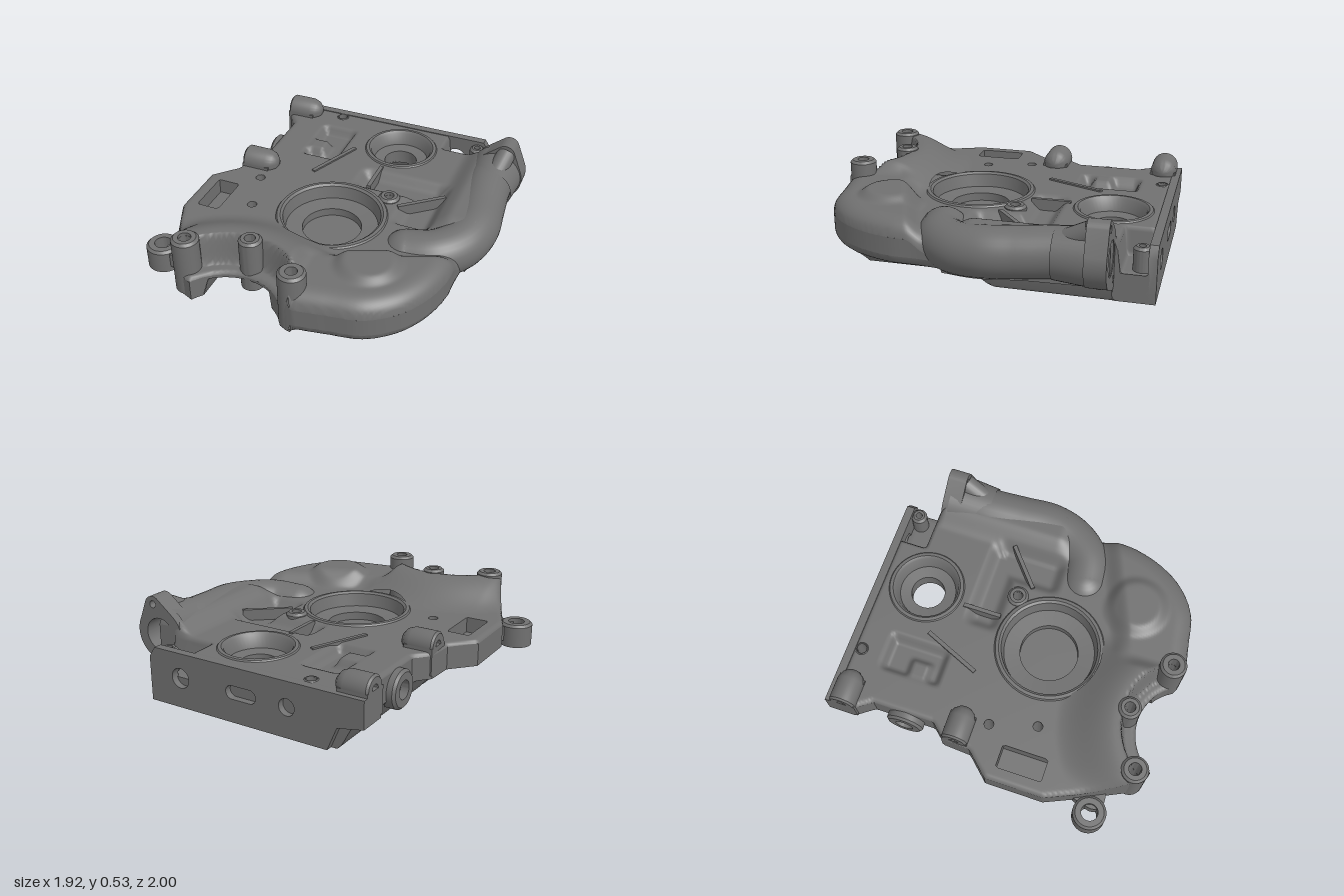
import * as THREE from 'three';
import { toCreasedNormals } from 'three/addons/utils/BufferGeometryUtils.js';

const MAT = new THREE.MeshStandardMaterial({ color: 0x707070, side: THREE.DoubleSide });
const CELL = 0.0135;
const step = THREE.MathUtils.smoothstep;
const V3 = (x, y, z) => new THREE.Vector3(x, y, z);

// ---- plan-view helpers: points are [x, z] ----
const circle = (x, z, r, n = 28) => Array.from({ length: n }, (_, i) => {
  const t = (i / n) * Math.PI * 2;
  return [x + r * Math.cos(t), z + r * Math.sin(t)];
});
// Outline wrapped tightly around circles [x, y, r]
const hull = (discs, n = 72) => Array.from({ length: n }, (_, i) => {
  const c = Math.cos((i / n) * Math.PI * 2), s = Math.sin((i / n) * Math.PI * 2);
  const reach = (d) => d[0] * c + d[1] * s + d[2];
  const d = discs.reduce((a, b) => (reach(b) > reach(a) ? b : a));
  return [d[0] + d[2] * c, d[1] + d[2] * s];
});
// Closest boundary point, its distance, and whether the point lies inside
function locate(poly, x, z) {
  let best = Infinity, px = x, pz = z, inside = false;
  for (let i = 0, j = poly.length - 1; i < poly.length; j = i++) {
    const [ax, az] = poly[j], [bx, bz] = poly[i];
    const dx = bx - ax, dz = bz - az;
    const t = Math.min(1, Math.max(0, ((x - ax) * dx + (z - az) * dz) / (dx * dx + dz * dz || 1)));
    const qx = ax + t * dx, qz = az + t * dz, d = (x - qx) ** 2 + (z - qz) ** 2;
    if (d < best) { best = d; px = qx; pz = qz; }
    if ((az > z) !== (bz > z) && x < ax + ((z - az) * dx) / dz) inside = !inside;
  }
  return { d: Math.sqrt(best), px, pz, inside };
}
// Soft-edged box, 1 inside and 0 outside
const pad = (x, z, cx, cz, hx, hz, soft = 0.05) =>
  (1 - step(Math.abs(x - cx), hx - soft, hx)) * (1 - step(Math.abs(z - cz), hz - soft, hz));
// Drop of a rounded edge of radius r at distance d from the boundary
const rounding = (d, r) => r * (1 - Math.sqrt(1 - Math.max(0, 1 - d / r) ** 2));

// ---- casting outline ----
const ARC = [-0.25, 1.13, 0.32];
const arch = Array.from({ length: 19 }, (_, i) => {
  const t = ((330 - (i * 120) / 18) * Math.PI) / 180;
  return [ARC[0] + ARC[2] * Math.cos(t), ARC[1] + ARC[2] * Math.sin(t)];
});
const rightSide = new THREE.CatmullRomCurve3([[0.82, -0.3], [0.86, -0.05], [0.835, 0.15], [0.82, 0.3], [0.815, 0.46],
  [0.76, 0.65], [0.66, 0.81], [0.5, 0.93], [0.3, 0.97], [0.12, 1]].map(([x, z]) => V3(x, 0, z))).getPoints(45).map((p) => [p.x, p.z]);
const OUTLINE = [[-0.74, -0.96], [0.67, -0.96], [0.67, -0.765], [0.8, -0.765], ...rightSide, [0.07, 0.99], ...arch,
  [-0.6, 0.94], [-0.66, 0.89], [-0.8, 0.6], [-0.88, 0.42], [-0.88, 0.06], [-0.75, -0.08], [-0.74, -0.25],
  [-0.66, -0.34], [-0.66, -0.72], [-0.74, -0.83]];

// ---- upper surface height ----
function topHeight(x, z, d) {
  const a = Math.hypot(x - ARC[0], z - ARC[1]);
  let y = 0.33 + 0.14 * (1 - step(a, 0.46, 0.8)) * (1 - step(x, 0.08, 0.25)) * step(x, -0.86, -0.64);
  y -= 0.06 * Math.max(pad(x, z, 0.28, -0.28, 0.3, 0.12, 0.08), pad(x, z, 0.47, -0.12, 0.14, 0.24, 0.08));
  y -= 0.06 * pad(x, z, -0.33, -0.58, 0.13, 0.2) * (1 - pad(x, z, -0.39, -0.53, 0.09, 0.09));
  y -= 0.16 * pad(x, z, 0.54, -0.88, 0.15, 0.1, 0.025);
  // fillet up to the outlet pipe
  y += 0.08 * step(x, 0.54, 0.7) * step(z, -0.79, -0.75) * (1 - step(z, 0, 0.2));
  // pump housing with its round crown
  const pump = step(z - (0.62 - 0.4 * x), -0.05, 0.08) * step(x, 0, 0.1);
  y = THREE.MathUtils.lerp(y, 0.4, pump);
  y += 0.04 * (1 - step(Math.hypot(x - 0.4, z - 0.6), 0.13, 0.21));
  // pockets between the front posts
  y = THREE.MathUtils.lerp(y, 0.28, (1 - step(a, 0.39, 0.43)) * step(x, -0.62, -0.58) * (1 - step(x, 0.06, 0.1)));
  return y - 0.85 * rounding(d, x > 0.1 && z > 0.15 ? 0.12 : 0.025);
}
// ---- underside height ----
function bottomHeight(x, z, d) {
  const left = 0.17 * (1 - step(x, -0.68, -0.55));
  const front = 0.13 * step(z, 0.48, 0.72);
  const right = 0.13 * step(x, 0.67, 0.71);
  const pump = 0.09 * step(x + z, 0.55, 0.75);
  const underArch = 0.24 * pad(x, z, -0.275, 0.85, 0.215, 0.33, 0.03);
  const pocket = 0.16 * pad(x, z, 0.2, -0.38, 0.27, 0.53);
  const slots = 0.1 * Math.max(pad(x, z, -0.42, -0.2, 0.07, 0.12, 0.02), pad(x, z, -0.2, 0.4, 0.24, 0.04, 0.02));
  const edge = x > 0.1 && z > 0.15 ? rounding(d, 0.06) : 0;
  return Math.max(left, front, right, pump, underArch, pocket, slots) + edge;
}

function finish(pos, idx) {
  const g = new THREE.BufferGeometry();
  g.setAttribute('position', new THREE.Float32BufferAttribute(pos, 3));
  g.setIndex(idx);
  g.computeVertexNormals();
  return g;
}
// Surface over the outline; rim vertices are pulled onto the boundaries
function skin(height, holes, faceUp) {
  const nx = Math.ceil(1.8 / CELL), nz = Math.ceil(2.0 / CELL), pos = [], kept = [], idx = [];
  for (let j = 0; j <= nz; j++) for (let i = 0; i <= nx; i++) {
    let x = -0.9 + i * CELL, z = -0.975 + j * CELL;
    const o = locate(OUTLINE, x, z);
    let ok = o.inside, d = o.d;
    if (!ok) { x = o.px; z = o.pz; d = 0; }
    else for (const h of holes) {
      const q = locate(h, x, z);
      if (q.inside) { ok = false; x = q.px; z = q.pz; break; }
    }
    pos.push(x, height(x, z, d), z);
    kept.push(ok);
  }
  const tri = (a, b, c) => {
    if (kept[a] || kept[b] || kept[c]) idx.push(...(faceUp ? [a, b, c] : [a, c, b]));
  };
  for (let j = 0; j < nz; j++) for (let i = 0; i < nx; i++) {
    const a = j * (nx + 1) + i, c = a + nx + 1;
    tri(a, c, a + 1);
    tri(a + 1, c, c + 1);
  }
  return finish(pos, idx);
}
// Vertical wall along a closed outline; d is the edge distance given to the height rules
function wall(poly, top, bottom, d = 1) {
  const pos = [], idx = [];
  poly.forEach(([ax, az], i) => {
    const [bx, bz] = poly[(i + 1) % poly.length];
    const n = Math.max(1, Math.ceil(Math.hypot(bx - ax, bz - az) / 0.02));
    for (let k = 0; k < n; k++) {
      const x = ax + ((bx - ax) * k) / n, z = az + ((bz - az) * k) / n;
      pos.push(x, bottom(x, z, d), z, x, top(x, z, d), z);
    }
  });
  const m = pos.length / 6;
  for (let i = 0; i < m; i++) {
    const a = 2 * i, b = 2 * ((i + 1) % m);
    idx.push(a, a + 1, b + 1, a, b + 1, b);
  }
  return toCreasedNormals(finish(pos, idx), 0.6);
}
const turned = (pts) => toCreasedNormals(new THREE.LatheGeometry(pts.map((p) => new THREE.Vector2(...p)), 48), 0.6);
const collar = (r, bore, h, c = 0.015) =>
  turned([[bore, 0], [r, 0], [r, h - c], [r - c, h], [bore, h], [bore, 0]]);
function plate(points, holes, depth) {
  const path = (p) => p.map(([x, y]) => new THREE.Vector2(x, y));
  const s = new THREE.Shape(path(points));
  holes.forEach((h) => s.holes.push(new THREE.Path(path(h))));
  return toCreasedNormals(new THREE.ExtrudeGeometry(s, { depth, bevelEnabled: false }), 0.6);
}

export function createModel() {
  const model = new THREE.Group();
  const add = (name, geo, x = 0, y = 0, z = 0) => {
    const m = new THREE.Mesh(geo, MAT);
    m.name = name;
    m.position.set(x, y, z);
    model.add(m);
    return m;
  };

  // Casting body with drilled holes, a deck window and underside cups
  const drilled = [[-0.37, -0.91, 0.03], [0.6, -0.91, 0.02], [0.26, -0.12, 0.03], [-0.57, -0.02, 0.03], [-0.49, 0.26, 0.03]]
    .map((h) => circle(...h));
  const posts = [[-0.59, 0.87, 0.037], [-0.25, 0.74, 0.032], [0.08, 0.91, 0.034]];
  const postHoles = posts.map((p) => circle(...p));
  const deckWindow = [[-0.8, 0.1], [-0.66, 0.1], [-0.66, 0.38], [-0.8, 0.38]];
  const cups = [[0.46, 0.6, 0.155, 0.28], [-0.33, 0.1, 0.13, 0.14], [0.36, 0.1, 0.07, 0.24], [-0.45, -0.52, 0.07, 0.15]];
  const cupRims = cups.map(([x, z, r]) => circle(x, z, r, 40));
  add('deck', skin(topHeight, [...drilled, ...postHoles, deckWindow, circle(0, 0.17, 0.32, 64), circle(0.14, -0.68, 0.215, 48)], true));
  add('underside', skin(bottomHeight, [...drilled, ...postHoles, ...cupRims, circle(0.14, -0.68, 0.105, 48)], false));
  add('bodyWall', wall(OUTLINE, topHeight, bottomHeight, 0));
  drilled.forEach((h) => add('boltHole', wall(h, topHeight, bottomHeight)));
  add('windowWall', wall(deckWindow, topHeight, () => 0.23));
  add('windowFloor', new THREE.BoxGeometry(0.14, 0.01, 0.28), -0.73, 0.23, 0.24);
  cups.forEach(([x, z, r, y], i) => {
    add('cupWall', wall(cupRims[i], () => y, bottomHeight));
    add('cupFloor', new THREE.CylinderGeometry(r, r, 0.008, 40), x, y, z);
  });

  // Turned bores
  add('mainBore', turned([[0.345, 0.32], [0.33, 0.34], [0.31, 0.342], [0.295, 0.33], [0.28, 0.25], [0.18, 0.24], [0.18, 0.19], [0, 0.19]]), 0, 0, 0.17);
  add('rearBore', turned([[0.245, 0.32], [0.23, 0.338], [0.21, 0.34], [0.195, 0.325], [0.175, 0.25], [0.105, 0.24], [0.105, 0.15]]), 0.14, 0, -0.68);

  // Bolt bosses and front posts
  add('deckBoss', collar(0.065, 0.03, 0.15), 0.26, 0.2, -0.12);
  add('deckBoss', collar(0.05, 0.03, 0.095), -0.37, 0.24, -0.91);
  add('deckBoss', collar(0.05, 0.02, 0.17), 0.6, 0.14, -0.91);
  [0.14, 0.16, 0.14].forEach((y, i) =>
    add('frontPost', collar(i === 1 ? 0.068 : 0.08, posts[i][2], 0.49 - y), posts[i][0], y, posts[i][1]));

  // Deck ribs
  [[-0.14, -0.56, -0.29, -0.21], [0.1, -0.42, 0.1, -0.18], [0.58, -0.25, 0.34, -0.05]].forEach(([ax, az, bx, bz]) => {
    const rib = add('rib', new THREE.BoxGeometry(Math.hypot(bx - ax, bz - az), 0.12, 0.025), (ax + bx) / 2, 0.28, (az + bz) / 2);
    rib.rotation.y = -Math.atan2(bz - az, bx - ax);
  });

  // Sideways bosses on the right edge
  [-0.89, -0.18].forEach((z) => {
    add('sideBoss', turned([[0, 0.07], [0.03, 0.07], [0.03, 0], [0.068, 0], [0.08, 0.012], [0.08, 0.15], [0.065, 0.19], [0.035, 0.215], [0, 0.22]]),
      -0.74, 0.35, z).rotation.z = -Math.PI / 2;
    add('sideBossWeb', new THREE.BoxGeometry(0.18, 0.16, 0.16), -0.65, 0.27, z);
  });
  add('sidePort', collar(0.115, 0.055, 0.1), -0.61, 0.2, -0.52).rotation.z = Math.PI / 2;

  // Mounting ear, its arm stopping short of the bolt hole
  add('earArm', plate(hull([[-0.77, 0.7, 0.065], [-0.7, 0.64, 0.12]]), [], 0.09), 0, 0.225, 0).rotation.x = Math.PI / 2;
  add('ear', collar(0.1, 0.05, 0.145), -0.86, 0.1, 0.7);

  // Rear face plate with ports and an undercut end
  const back = [[-0.52, 0], [0.67, 0], [0.67, 0.27], [0.63, 0.33], [-0.74, 0.33], [-0.74, 0.17], [-0.58, 0.14]];
  add('rearPlate', plate(back, [circle(0.45, 0.18, 0.06), hull([[-0.03, 0.18, 0.04], [0.09, 0.18, 0.04]]), circle(-0.27, 0.18, 0.05)], 0.05), 0, 0, -1);

  // Outlet pipe and its flange
  const path = new THREE.CatmullRomCurve3([V3(0.79, 0.3, -0.75), V3(0.78, 0.3, -0.5), V3(0.8, 0.285, -0.27),
    V3(0.815, 0.275, -0.08), V3(0.77, 0.26, 0.08), V3(0.66, 0.25, 0.2), V3(0.5, 0.235, 0.24)]);
  add('outletPipe', new THREE.TubeGeometry(path, 60, 0.145, 32));
  add('pipeEnd', new THREE.SphereGeometry(0.145, 32, 16), 0.5, 0.235, 0.24);
  add('pipeShoulder', new THREE.CylinderGeometry(0.145, 0.17, 0.26, 40, 1, true), 0.79, 0.3, -0.6).rotation.x = Math.PI / 2;
  const flange = hull([[0.795, 0.3, 0.165], [0.84, 0.47, 0.06], [0.7, 0.14, 0.06]]);
  add('flange', plate(flange, [circle(0.795, 0.3, 0.1, 40), circle(0.84, 0.48, 0.022), circle(0.7, 0.14, 0.022)], 0.12), 0, 0, -0.77);
  add('flangeGusset', new THREE.TubeGeometry(new THREE.LineCurve3(V3(0.84, 0.46, -0.67), V3(0.8, 0.35, -0.46)), 4, 0.06, 20));
  return model;
}
